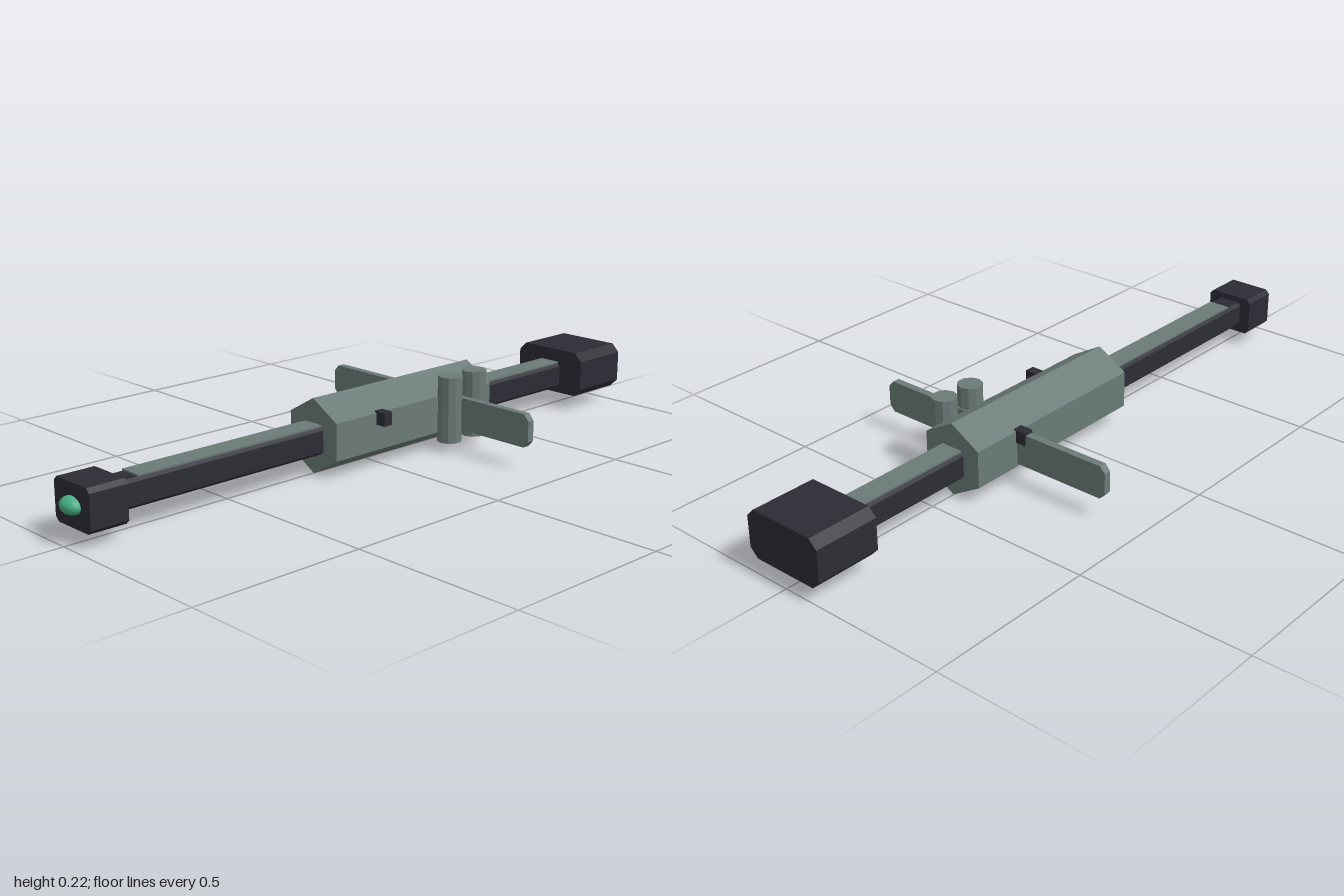
import * as THREE from 'three';

const paint = (name, color) => {
  const m = new THREE.MeshStandardMaterial({ color });
  m.name = name;
  return m;
};

export function createModel() {
  const hull = paint('grey green hull', 0x6b7b77);
  const dark = paint('charcoal', 0x2d2c35);
  const glow = paint('emerald light', 0x48b088);
  const model = new THREE.Group();
  model.name = 'spacecraft';

  const add = (name, geometry, material, x, y, z) => {
    const mesh = new THREE.Mesh(geometry, material);
    mesh.name = name;
    mesh.position.set(x, y, z);
    model.add(mesh);
    return mesh;
  };

  // Bar along z with its four long edges cut off
  const chamferedBar = (w, h, length, cx, cy = cx) => {
    const a = w / 2, b = h / 2;
    const shape = new THREE.Shape([
      [a - cx, -b], [a, -b + cy], [a, b - cy], [a - cx, b],
      [-a + cx, b], [-a, b - cy], [-a, -b + cy], [-a + cx, -b],
    ].map(([x, y]) => new THREE.Vector2(x, y)));
    return new THREE.ExtrudeGeometry(shape, { depth: length, bevelEnabled: false })
      .translate(0, 0, -length / 2);
  };

  // Hexagonal central hull, ridge at top and bottom
  const hex = new THREE.Shape();
  for (let i = 0; i < 6; i++) {
    const t = Math.PI / 2 + i * Math.PI / 3;
    const x = 0.107 * Math.cos(t), y = 0.107 * Math.sin(t);
    i ? hex.lineTo(x, y) : hex.moveTo(x, y);
  }
  hex.closePath();
  add('centralHull', new THREE.ExtrudeGeometry(hex, { depth: 0.615, bevelEnabled: false }),
    hull, 0, 0.107, -0.42);

  // Long spine with a pale strip along its top
  add('spine', chamferedBar(0.08, 0.078, 1.69, 0.009), dark, 0, 0.1, 0.02);
  add('spineTopStrip', new THREE.BoxGeometry(0.066, 0.005, 1.61), hull, 0, 0.1415, -0.005);

  // Engine block at the back, sensor head at the front
  add('engineBlock', chamferedBar(0.246, 0.138, 0.19, 0.024), dark, 0, 0.114, -0.905);
  add('sensorHead', chamferedBar(0.15, 0.117, 0.11, 0.012), dark, 0, 0.0985, 0.915);
  const lens = add('frontLight', new THREE.SphereGeometry(1, 16, 12), glow, 0, 0.099, 0.97);
  lens.scale.set(0.037, 0.024, 0.03);

  // Side fins
  for (const [name, side] of [['leftFin', 1], ['rightFin', -1]]) {
    add(name, chamferedBar(0.33, 0.095, 0.022, 0.016, 0.018), hull, side * 0.225, 0.1095, -0.257);
  }

  // Upright tanks on the left
  for (const [name, z] of [['frontTank', -0.229], ['rearTank', -0.329]]) {
    const tank = new THREE.CylinderGeometry(0.036, 0.036, 0.193, 10).toNonIndexed();
    tank.computeVertexNormals();
    add(name, tank, hull, 0.112, 0.1245, z);
  }

  // Small side boxes
  add('leftSideBox', new THREE.BoxGeometry(0.045, 0.038, 0.03), dark, 0.101, 0.1465, 0.03);
  add('rightSideBox', new THREE.BoxGeometry(0.045, 0.038, 0.03), dark, -0.101, 0.1465, -0.257);

  return model;
}
